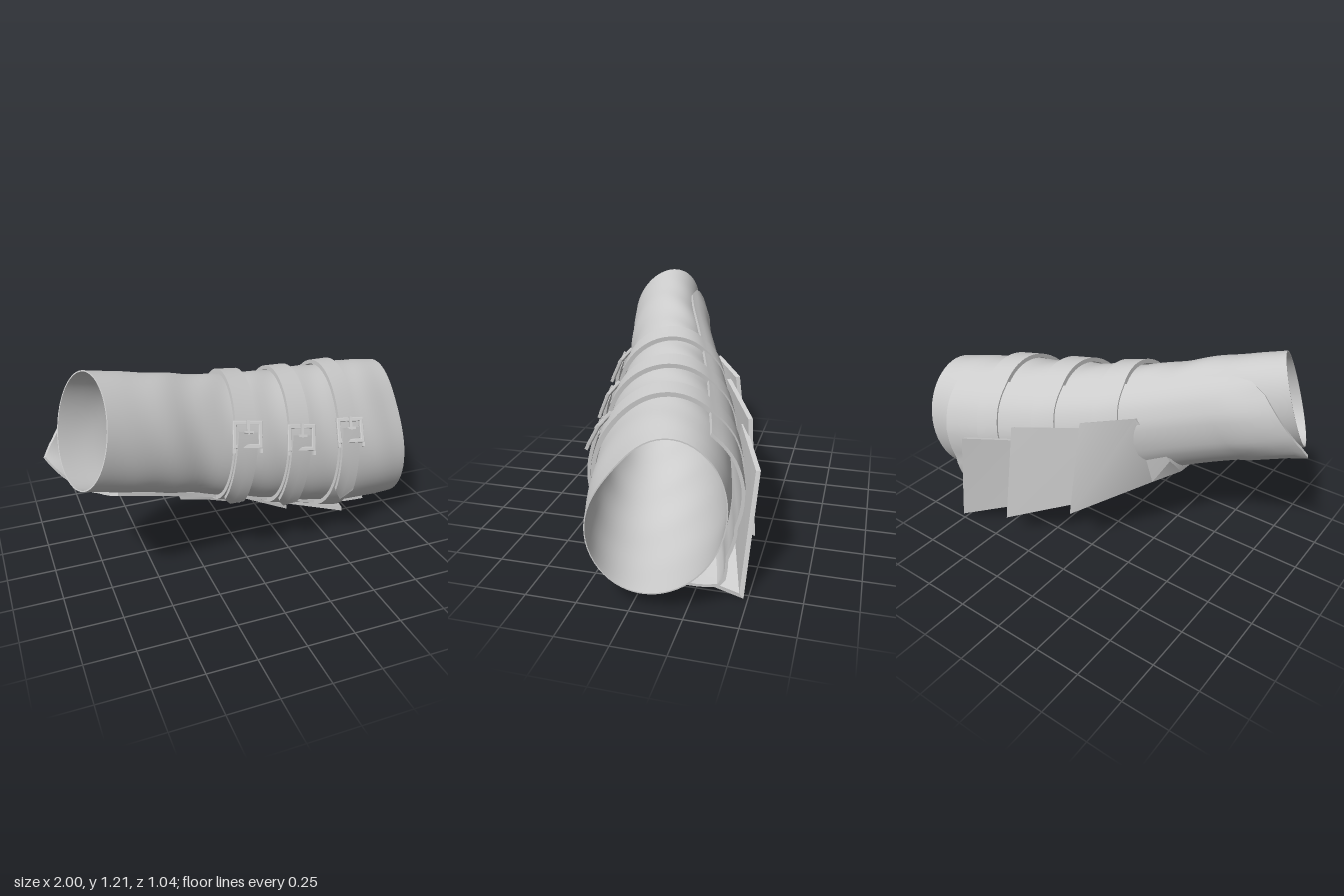
import * as THREE from 'three';
import { toCreasedNormals } from 'three/addons/utils/BufferGeometryUtils.js';

const RAD = Math.PI / 180;
const lerp = THREE.MathUtils.lerp;
const clamp = THREE.MathUtils.clamp;

// Forearm cross-sections: centre x -> centre y, half height, centre z, half depth, x lean per y, x lean per z
const STATIONS = [-0.84, -0.5, -0.25, 0, 0.3, 0.6, 0.8, 0.985];
const SECTIONS = [
  0.955, 0.257, 0.33, 0.19, 0.33, 0.42,
  0.85, 0.27, 0.245, 0.205, 0.25, 0.22,
  0.762, 0.28, 0.16, 0.23, 0.2, 0.05,
  0.685, 0.3, 0.093, 0.267, 0.17, 0,
  0.603, 0.337, 0.02, 0.3, 0.15, 0,
  0.535, 0.376, -0.04, 0.33, 0.12, 0,
  0.503, 0.388, -0.08, 0.34, 0.06, 0,
  0.475, 0.385, -0.115, 0.325, 0.02, 0,
];
const sections = new THREE.CubicInterpolant(STATIONS, SECTIONS, 6);

// Point on the forearm; angle 0 is front, 90 top, 180 back, 270 bottom
function onArm(u, deg, off = 0) {
  const [cy, h, cz, d, a, b] = sections.evaluate(u);
  const c = Math.cos(deg * RAD), s = Math.sin(deg * RAD);
  // the elbow end is flattened on its upper front
  const flat = 0.048 * clamp((u - 0.3) / 0.6, 0, 1) * Math.max(0, Math.cos((deg - 38) * RAD)) ** 4;
  const r = off - flat;
  const dy = (h + r) * s;
  const dz = (Math.sqrt(d * d - 0.0036) + r) * c - 0.06 * s;
  return new THREE.Vector3(u + a * dy + b * dz, cy + dy, cz + dz);
}

// Piecewise linear lookup in [key, value] pairs
function lookup(table, x) {
  for (let i = 1; i < table.length; i++) {
    const [x0, y0] = table[i - 1], [x1, y1] = table[i];
    if (x <= x1) return lerp(y0, y1, clamp((x - x0) / (x1 - x0), 0, 1));
  }
  return table[table.length - 1][1];
}

// The back plate stands off the sleeve, and the straps pass over it
const BULGE = [[128, 0], [150, 0.025], [170, 0.04], [200, 0.045], [235, 0.03], [270, 0]];
const bulge = (u, deg) => lookup(BULGE, deg) * clamp((u + 0.8) / 0.2, 0, 1);

// Solid sheet between an outer and an inner grid of points
function slab(rows, cols, outer, inner, wrap = false, crease = 35) {
  const grid = (f) => Array.from({ length: rows + 1 }, (_, i) =>
    Array.from({ length: cols + 1 }, (_, j) => f(i, j)));
  const P = grid(outer), Q = grid(inner), pos = [];
  const quad = (a, b, c, d) => {
    for (const v of [a, b, c, a, c, d]) pos.push(v.x, v.y, v.z);
  };
  for (let i = 0; i < rows; i++) {
    for (let j = 0; j < cols; j++) {
      quad(P[i][j], P[i + 1][j], P[i + 1][j + 1], P[i][j + 1]);
      quad(Q[i][j], Q[i][j + 1], Q[i + 1][j + 1], Q[i + 1][j]);
    }
    if (!wrap) {
      quad(P[i][0], Q[i][0], Q[i + 1][0], P[i + 1][0]);
      quad(P[i][cols], P[i + 1][cols], Q[i + 1][cols], Q[i][cols]);
    }
  }
  for (let j = 0; j < cols; j++) {
    quad(P[0][j], P[0][j + 1], Q[0][j + 1], Q[0][j]);
    quad(P[rows][j], Q[rows][j], Q[rows][j + 1], P[rows][j + 1]);
  }
  const g = new THREE.BufferGeometry();
  g.setAttribute('position', new THREE.Float32BufferAttribute(pos, 3));
  return toCreasedNormals(g, crease * RAD);
}

export function createModel() {
  const model = new THREE.Group();
  model.name = 'bracer';
  const material = new THREE.MeshStandardMaterial({ color: 0xcccccc });
  const add = (geometry, name, parent = model) => {
    const mesh = new THREE.Mesh(geometry, material);
    mesh.name = name;
    parent.add(mesh);
    return mesh;
  };

  // Leather sleeve, open at both ends, with soft wrinkles
  const sleeve = (thick) => (i, j) => {
    const u = lerp(-0.84, 0.985, i / 48), deg = j * 6;
    const fade = Math.sin(Math.PI * i / 48);
    const wrinkle = 0.004 * fade * Math.sin(24 * u + 2 * Math.sin(2 * deg * RAD));
    return onArm(u, deg, wrinkle - thick);
  };
  add(slab(48, 60, sleeve(0), sleeve(0.006), true, 50), 'sleeve');

  // Back plate: flared point at the wrist, folded into a corner toward the elbow
  const wristEdge = [[125, -0.58], [135, -0.69], [150, -0.74], [185, -0.8], [200, -0.83], [215, -0.87],
    [232, -0.83], [250, -0.78], [290, -0.68]];
  const fold = [[195, 0], [215, 0.05], [228, 0.14], [250, 0.055], [270, 0.03], [290, 0]];
  const flare = [[150, 0], [215, 0.05], [270, 0]];
  const plate = (lift) => (i, j) => {
    const deg = lerp(125, 290, j / 33);
    const u = lerp(lookup(wristEdge, deg), 0.82, i / 30);
    const grow = clamp((u + 0.3) / 1.1, 0, 1);
    const tip = clamp(1 - i / 5, 0, 1);
    return onArm(u, deg, lift + bulge(u, deg) + grow * lookup(fold, deg) + tip * lookup(flare, deg));
  };
  add(slab(30, 33, plate(0.018), plate(0.002)), 'backPlate');

  // Overlapping scales: each row runs top corner, ridge corner, front corner
  const at = (x, y, z) => new THREE.Vector3(x, y, z);
  const scales = [
    [
      [onArm(-0.3, 212, 0.07), onArm(-0.3, 235, 0.08), onArm(-0.32, 280, 0.04)],
      [onArm(-0.22, 163, 0.07), onArm(-0.19, 230, 0.13), onArm(-0.18, 282, 0.035)],
      [at(0.02, 0.82, -0.3), at(0.05, 0.275, -0.37), at(0, 0.29, 0.14)],
    ],
    [
      [at(-0.05, 0.78, -0.24), at(-0.08, 0.35, -0.22), at(-0.1, 0.37, 0.14)],
      [at(0.37, 0.73, -0.43), at(0.43, 0.135, -0.47), at(0.3, 0.16, 0.1)],
    ],
    [
      [at(0.27, 0.66, -0.38), at(0.27, 0.24, -0.34), at(0.2, 0.24, 0.12)],
      [at(0.66, 0.6, -0.52), at(0.78, 0.005, -0.48), at(0.65, 0.08, 0.12)],
    ],
  ];
  scales.forEach((rows, k) => {
    const inner = (i, j) => {
      const p = rows[i][j];
      const [cy, , cz] = sections.evaluate(p.x);
      const inward = at(0, cy - p.y, cz - p.z).normalize();
      return p.clone().addScaledVector(inward, j === 1 ? 0.032 : 0.022);
    };
    add(slab(rows.length - 1, 2, (i, j) => rows[i][j], inner, false, 25), 'scale' + (k + 1));
  });

  // Buckle frame outline with its opening
  const rect = (path, w, h) => path.moveTo(-w, -h).lineTo(w, -h).lineTo(w, h).lineTo(-w, h).closePath();
  const frame = rect(new THREE.Shape(), 0.073, 0.064);
  frame.holes.push(rect(new THREE.Path(), 0.06, 0.05));
  const frameGeometry = new THREE.ExtrudeGeometry(frame, {
    depth: 0.01, bevelEnabled: true, bevelSize: 0.004, bevelThickness: 0.004, bevelSegments: 2,
  });

  // Straps: centre, buckle angle, tongue tip angle
  const HALF = 0.06;
  [[-0.075, 19, -58], [0.24, 17, -54], [0.555, 21, -37]].forEach(([u, angle, tip], k) => {
    const strap = new THREE.Group();
    strap.name = 'strap' + (k + 1);
    model.add(strap);

    const band = (off) => (i, j) => {
      const x = u + lerp(-HALF, HALF, i / 2);
      return onArm(x, j * 5, off + bulge(x, j * 5));
    };
    add(slab(2, 72, band(0.026), band(0.004), true), 'band', strap);

    // Loose tongue with a pointed end, passing over the lower bar of the buckle
    const tongue = (off) => (i, j) => {
      const t = j / 16;
      const deg = lerp(tip + (i === 1 ? 0 : 11), angle + 2, t);
      return onArm(u + (i - 1) * (HALF - 0.004), deg, off + 0.01 * (1 - t) ** 2 + 0.016 * t ** 4);
    };
    add(slab(2, 16, tongue(0.042), tongue(0.024)), 'tongue', strap);

    // Buckle lying on the strap
    const up = onArm(u, angle + 5).sub(onArm(u, angle - 5)).normalize();
    const out = at(1, 0, 0).cross(up).normalize();
    const side = up.clone().cross(out);
    const buckle = new THREE.Group();
    buckle.name = 'buckle';
    buckle.applyMatrix4(new THREE.Matrix4().makeBasis(side, up, out).setPosition(onArm(u, angle, 0.036)));
    strap.add(buckle);
    add(frameGeometry, 'frame', buckle);
    add(new THREE.BoxGeometry(0.014, 0.07, 0.012), 'prong', buckle).position.set(0, 0.036, 0.016);
    add(new THREE.BoxGeometry(0.05, 0.012, 0.012), 'prongHinge', buckle).position.set(0, 0.01, 0.02);
    for (const s of [-1, 1]) {
      add(new THREE.BoxGeometry(0.014, 0.026, 0.016), 'frameLug', buckle).position.set(s * 0.07, -0.076, 0.004);
    }
  });

  return model;
}
